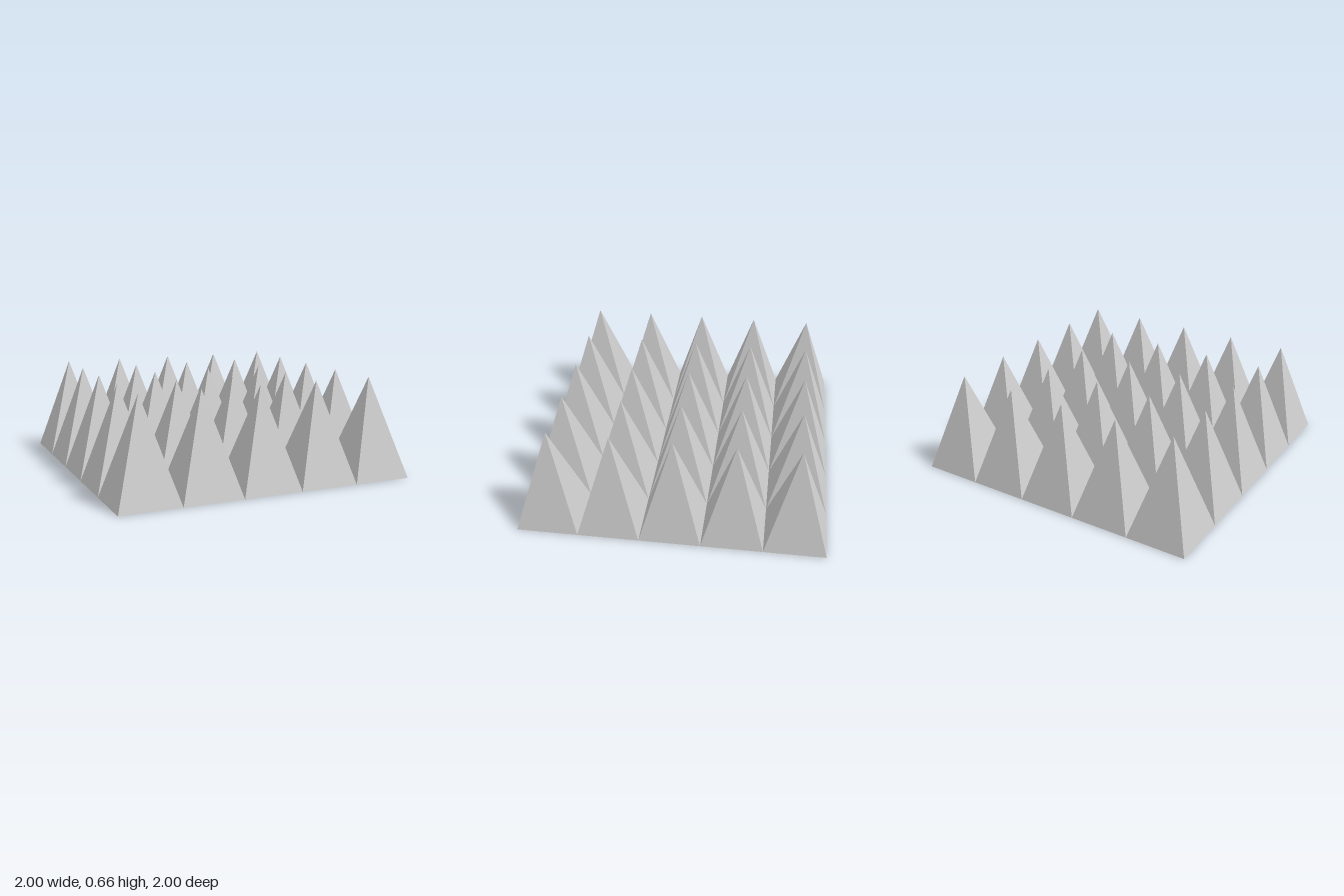
import * as THREE from 'three';

export function createModel() {
  const group = new THREE.Group();
  group.name = 'spikedPanel';

  const count = 5;
  const cell = 2 / count;
  const height = 0.66;

  // Hollow four-sided spike, open underneath, with its sides square to the axes
  const spike = new THREE.ConeGeometry(cell / Math.SQRT2, height, 4, 1, true);
  spike.rotateY(Math.PI / 4);
  spike.translate(0, height / 2, 0);

  const material = new THREE.MeshStandardMaterial({
    color: 0xcccccc,
    flatShading: true,
    side: THREE.DoubleSide,
  });

  // Square grid of spikes, touching along their base edges
  for (let row = 0; row < count; row++) {
    for (let col = 0; col < count; col++) {
      const mesh = new THREE.Mesh(spike, material);
      mesh.name = `spikeRow${row + 1}Column${col + 1}`;
      mesh.position.set((col + 0.5) * cell - 1, 0, (row + 0.5) * cell - 1);
      group.add(mesh);
    }
  }
  return group;
}
